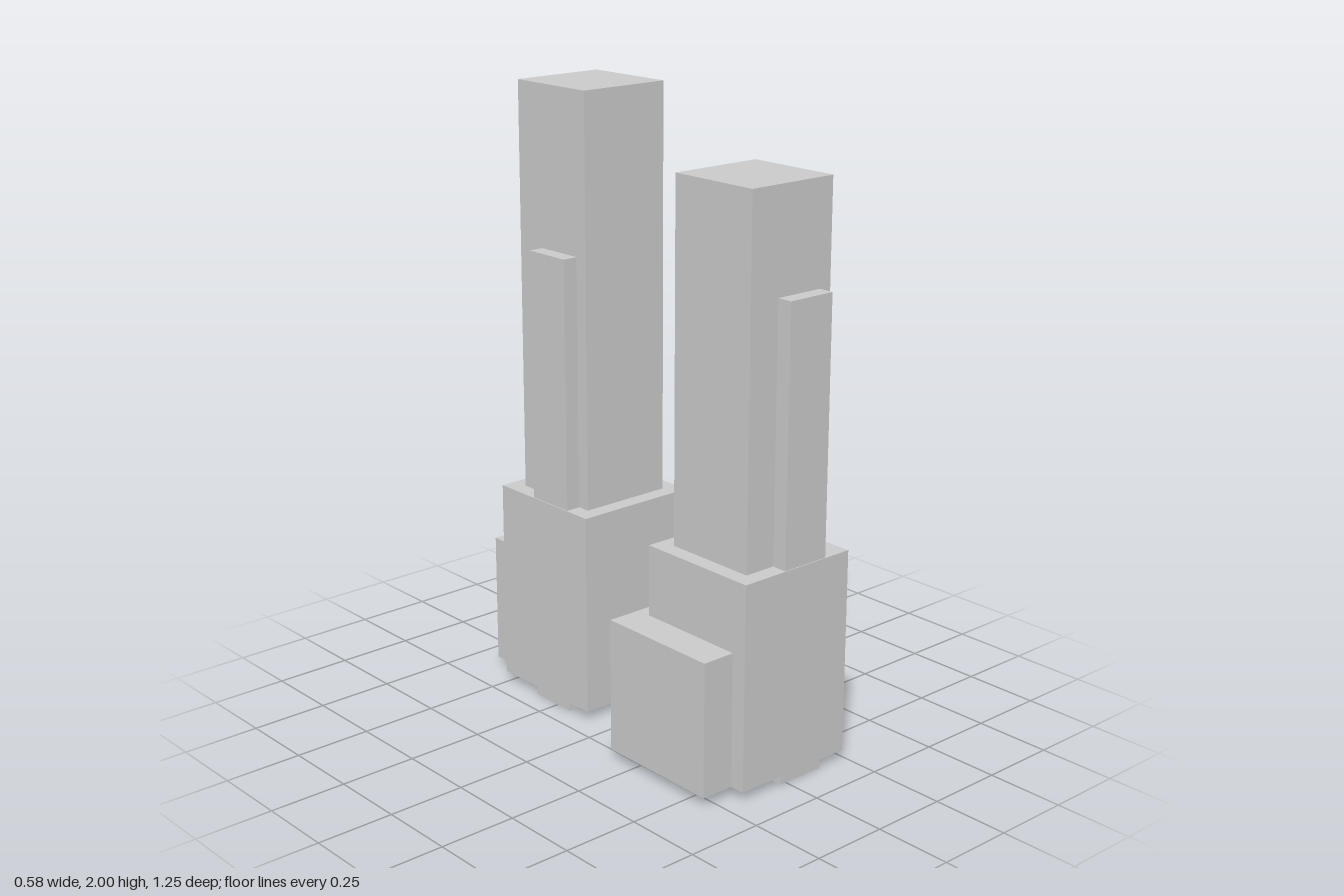
import * as THREE from 'three';

const material = new THREE.MeshStandardMaterial({ color: 0xcccccc, flatShading: true });

// Box given by its lower and upper limits on each axis
function block(name, [x0, x1], [y0, y1], [z0, z1]) {
  const mesh = new THREE.Mesh(new THREE.BoxGeometry(x1 - x0, y1 - y0, z1 - z0), material);
  mesh.position.set((x0 + x1) / 2, (y0 + y1) / 2, (z0 + z1) / 2);
  mesh.name = name;
  return mesh;
}

// One tower, centred on its shaft; only the shaft height differs
function createTower(name, height) {
  const tower = new THREE.Group();
  tower.name = name;
  tower.add(
    block('shaft', [-0.157, 0.157], [0.6, height], [-0.157, 0.157]),
    block('podium', [-0.21, 0.21], [0.03, 0.687], [-0.21, 0.21]),
    block('annex', [-0.16, 0.259], [0.03, 0.46], [-0.321, 0.096]),
    // slim pier runs through the podium and shows as a foot below it
    block('pier', [-0.207, -0.082], [0, 1.492], [-0.05, 0.115])
  );
  return tower;
}

export function createModel() {
  const model = new THREE.Group();
  model.name = 'twinTowers';

  const backTower = createTower('backTower', 2);
  backTower.position.set(0.033, 0, -0.305);

  // Same tower, shorter, turned a quarter turn and very slightly askew
  const frontTower = createTower('frontTower', 1.815);
  frontTower.position.set(0.03, 0, 0.414);
  frontTower.rotation.y = Math.PI / 2 - 0.008;

  model.add(backTower, frontTower);
  return model;
}
